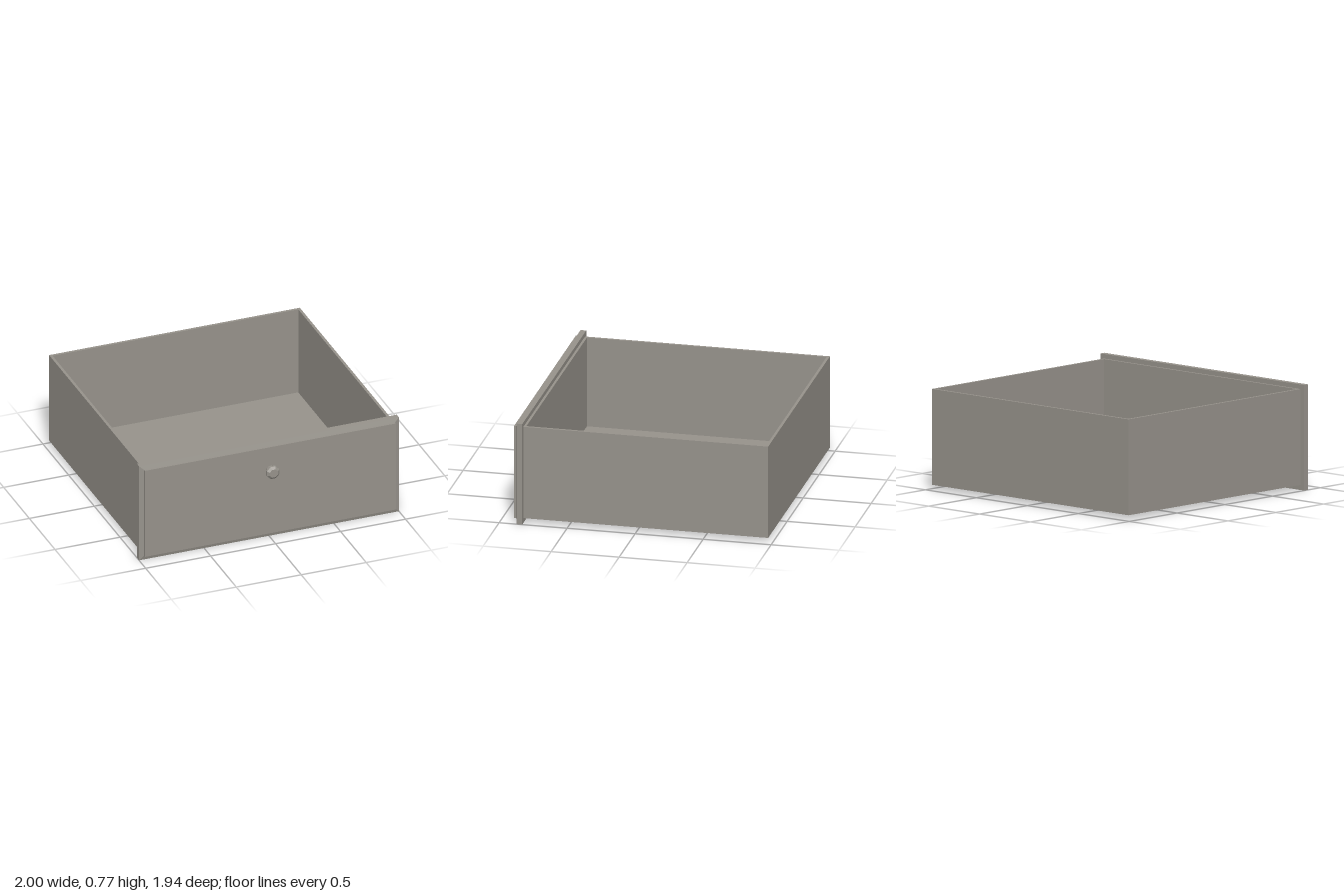
import * as THREE from 'three';

// Skin a series of four-cornered rings, closing the first and last ring
function loft(rings) {
  const pos = [];
  const quad = (a, b, c, d) => [a, b, c, a, c, d].forEach((p) => pos.push(...p));
  const [a, b, c, d] = rings[0];
  quad(d, c, b, a);
  for (let i = 0; i < rings.length - 1; i++) {
    for (let k = 0; k < 4; k++) {
      const n = (k + 1) % 4;
      quad(rings[i][k], rings[i][n], rings[i + 1][n], rings[i + 1][k]);
    }
  }
  quad(...rings[rings.length - 1]);
  const geo = new THREE.BufferGeometry();
  geo.setAttribute('position', new THREE.Float32BufferAttribute(pos, 3));
  geo.computeVertexNormals();
  return geo;
}

// Rectangle facing +z
const upright = (x, y0, y1, z) => [[-x, y0, z], [x, y0, z], [x, y1, z], [-x, y1, z]];
// Rectangle facing +y
const level = (x, zBack, zFront, y) => [[-x, y, zFront], [x, y, zFront], [x, y, zBack], [-x, y, zBack]];

export function createModel() {
  const group = new THREE.Group();
  group.name = 'drawer';
  const paint = new THREE.MeshStandardMaterial({ color: 0x96928b, flatShading: true });
  paint.name = 'warm grey';

  const add = (name, geo) => {
    const mesh = new THREE.Mesh(geo, paint);
    mesh.name = name;
    group.add(mesh);
    return mesh;
  };

  // Open box: outer walls, rim, inner walls, floor
  add('drawerBox', loft([
    level(0.965, -0.97, 0.832, 0.037),
    level(0.965, -0.97, 0.832, 0.733),
    level(0.945, -0.95, 0.812, 0.733),
    level(0.945, -0.95, 0.812, 0.057),
  ]));

  // Front: slab, sloping border, raised panel
  add('frontPanel', loft([
    upright(1, 0, 0.766, 0.83),
    upright(1, 0, 0.766, 0.872),
    upright(0.966, 0.034, 0.735, 0.882),
    upright(0.966, 0.034, 0.735, 0.898),
  ]));

  // Eight-sided knob on a short stem
  const profile = [[0.031, 0.895], [0.031, 0.93], [0.052, 0.938], [0.052, 0.953], [0.034, 0.968], [0, 0.968]]
    .map(([r, h]) => new THREE.Vector2(r, h));
  const knob = add('knob', new THREE.LatheGeometry(profile, 8, Math.PI / 8));
  knob.rotation.x = Math.PI / 2;
  knob.position.y = 0.555;

  return group;
}
